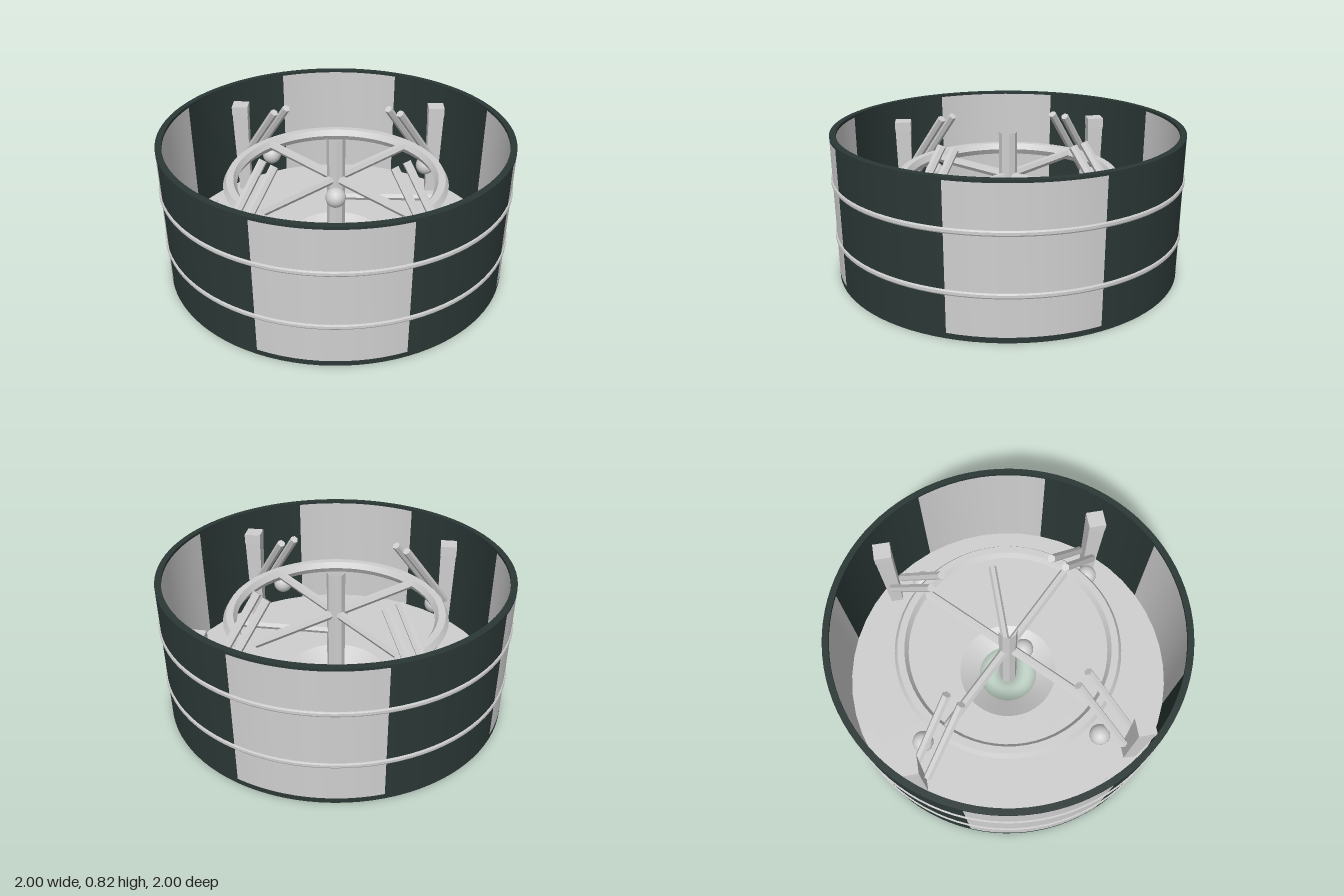
import * as THREE from 'three';
import { toCreasedNormals } from 'three/addons/utils/BufferGeometryUtils.js';

const mat = (name, color) => {
  const m = new THREE.MeshStandardMaterial({ color });
  m.name = name;
  return m;
};

export function createModel() {
  const root = new THREE.Group();
  const light = mat('light grey', 0xcfcfcf);
  const dark = mat('dark green grey', 0x2b3836);

  const add = (parent, name, geo, material, x = 0, y = 0, z = 0) => {
    const mesh = new THREE.Mesh(geo, material);
    mesh.name = name;
    mesh.position.set(x, y, z);
    parent.add(mesh);
    return mesh;
  };
  // Revolved closed profile with crisp edges
  const lathe = (pts, segs, start = 0, len = Math.PI * 2) => toCreasedNormals(
    new THREE.LatheGeometry(pts.map(p => new THREE.Vector2(...p)), segs, start, len), 0.3);
  const band = (r0, r1, y0, y1) => [[r1, y0], [r1, y1], [r0, y1], [r0, y0], [r1, y0]];
  // Six-sided bar lying along x
  const bar = (radius, length) => toCreasedNormals(
    new THREE.CylinderGeometry(radius, radius, length, 6).rotateZ(Math.PI / 2), 0.3);

  // Thin drum wall: eight alternating panels between a base band and a rim
  const R = 0.992, RI = 0.98, step = Math.PI / 4;
  for (let i = 0; i < 8; i++) {
    add(root, 'wallPanel', lathe(band(RI, R, 0.03, 0.805), 12, (i - 0.5) * step, step), i % 2 ? dark : light);
  }
  add(root, 'baseBand', lathe(band(0.96, R, 0, 0.03), 96), dark);
  add(root, 'topRim', lathe(band(0.957, R, 0.805, 0.82), 96), dark);

  // Two chamfered hoops around the wall
  for (const y of [0.25, 0.565]) {
    add(root, 'hoop', lathe([[0.985, y - 0.014], [0.996, y - 0.014], [1, y - 0.007], [1, y + 0.007],
      [0.996, y + 0.014], [0.985, y + 0.014], [0.985, y - 0.014]], 96), light);
  }

  // Floor with a slight outer step and a funnelled centre hole
  add(root, 'floor', lathe([[RI, 0.015], [RI, 0.09], [0.9, 0.09], [0.9, 0.1], [0.3, 0.1], [0.18, 0.03],
    [0.28, 0.035], [0.3, 0.015], [RI, 0.015]], 48), light);

  // Open centre column and its foot pad
  add(root, 'centreColumn', toCreasedNormals(new THREE.CylinderGeometry(0.053, 0.053, 0.77, 8, 1, true), 0.3),
    light, 0, 0.395, 0);
  add(root, 'centreFoot', new THREE.CircleGeometry(0.064, 16).rotateX(Math.PI / 2), dark, 0, 0.006, 0);
  add(root, 'centreBall', new THREE.SphereGeometry(0.06, 16, 12), light, 0, 0.44, 0.09);

  // Hexagonal-section inner ring and a lower side spoke
  add(root, 'innerRing', toCreasedNormals(
    new THREE.TorusGeometry(0.61, 0.04, 6, 64).rotateX(Math.PI / 2), 0.5), light, 0, 0.515, 0);
  add(root, 'sideSpoke', bar(0.024, 0.53), light, 0.31, 0.4, 0);

  // Four corner assemblies, each built along its local x axis
  for (let i = 0; i < 4; i++) {
    const corner = new THREE.Group();
    corner.name = 'cornerSupport';
    corner.rotation.y = Math.PI / 4 + i * Math.PI / 2;
    root.add(corner);

    add(corner, 'spoke', bar(0.027, 0.6), light, 0.3, 0.52, 0);

    // Tapered post with a square head
    const post = new THREE.CylinderGeometry(0.068, 0.052, 0.57, 4, 1).toNonIndexed();
    post.computeVertexNormals();
    add(corner, 'post', post, light, 0.89, 0.365, 0);
    add(corner, 'postHead', new THREE.BoxGeometry(0.1, 0.06, 0.1), light, 0.89, 0.675, 0).rotation.y = Math.PI / 4;

    // Pair of sloping braces
    const dx = 0.36, dy = -0.45;
    for (const z of [-0.047, 0.047]) {
      const brace = add(corner, 'brace', bar(0.024, Math.hypot(dx, dy)), light, 0.485 + dx / 2, 0.79 + dy / 2, z);
      brace.rotation.z = Math.atan2(dy, dx);
    }
    add(corner, 'ball', new THREE.SphereGeometry(0.06, 16, 12), light, 0.705, 0.38, 0.09);

    // Foot collar and pad under the floor
    add(corner, 'footCollar', new THREE.CylinderGeometry(0.084, 0.084, 0.025, 20), light, 0.87, 0.0175, 0);
    add(corner, 'footPad', new THREE.CylinderGeometry(0.066, 0.066, 0.02, 20), dark, 0.87, 0.01, 0);
  }
  return root;
}
